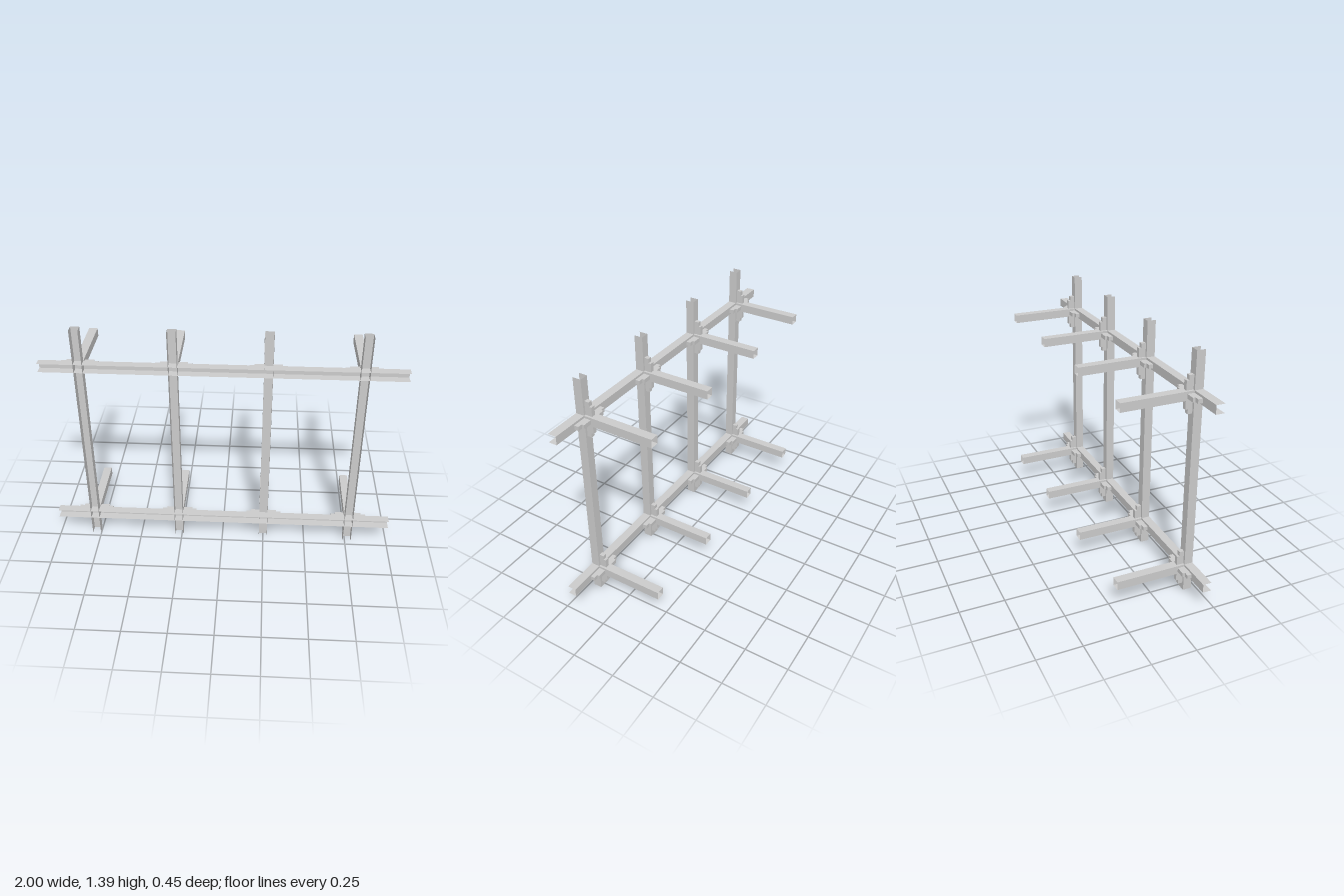
import * as THREE from 'three';

const SIZE = 0.049;                          // width of every beam section
const AXIS_Z = 0.2;                          // centre of posts and rails in depth
const WEB_Z = AXIS_Z - SIZE / 2;             // back wall of the channels
const HEIGHT = 1.387;
const POST_X = [-0.778, -0.265, 0.249, 0.762];
const RAIL_Y = [0.143, 1.158];

// Thin-walled square section along y; three walls leave the +z side open
function section(length, walls) {
  return new THREE.CylinderGeometry(SIZE / Math.SQRT2, SIZE / Math.SQRT2, length,
    walls, 1, true, Math.PI / 4, walls * Math.PI / 2);
}

// Stepped bar lying along x, growing from the web toward -z
function steppedBar() {
  const shape = new THREE.Shape([
    [-0.103, 0], [0.103, 0], [0.103, 0.026], [0.077, 0.026],
    [0.077, 0.04], [-0.077, 0.04], [-0.077, 0.026], [-0.103, 0.026],
  ].map(([x, y]) => new THREE.Vector2(x, y)));
  const width = 0.024;
  return new THREE.ExtrudeGeometry(shape, { depth: width, bevelEnabled: false })
    .translate(0, 0, -width / 2)
    .rotateX(-Math.PI / 2);
}

export function createModel() {
  const model = new THREE.Group();
  model.name = 'frame';
  const sheet = new THREE.MeshStandardMaterial({
    color: 0xcccccc, flatShading: true, side: THREE.DoubleSide,
  });
  const solid = new THREE.MeshStandardMaterial({ color: 0xcccccc, flatShading: true });

  const add = (name, geometry, material, x, y, z) => {
    const mesh = new THREE.Mesh(geometry, material);
    mesh.name = name;
    mesh.position.set(x, y, z);
    model.add(mesh);
  };

  // Upright channels, open to the front
  const post = section(HEIGHT, 3);
  for (const x of POST_X) add('post', post, sheet, x, HEIGHT / 2, AXIS_Z);

  // Horizontal channels, open to the front
  const rail = section(2, 3).rotateZ(Math.PI / 2);
  for (const y of RAIL_Y) add('rail', rail, sheet, 0, y, AXIS_Z);

  // Square tubes reaching back from each crossing, with cross-shaped brackets
  const armLength = WEB_Z + 0.224;
  const arm = section(armLength, 4).rotateX(Math.PI / 2);
  const barAcross = steppedBar();
  const barUpright = steppedBar().rotateZ(Math.PI / 2);
  for (const x of POST_X) {
    for (const y of RAIL_Y) {
      add('arm', arm, sheet, x, y, WEB_Z - armLength / 2);
      add('bracketAcross', barAcross, solid, x, y, WEB_Z);
      add('bracketUpright', barUpright, solid, x, y, WEB_Z);
    }
  }
  return model;
}
